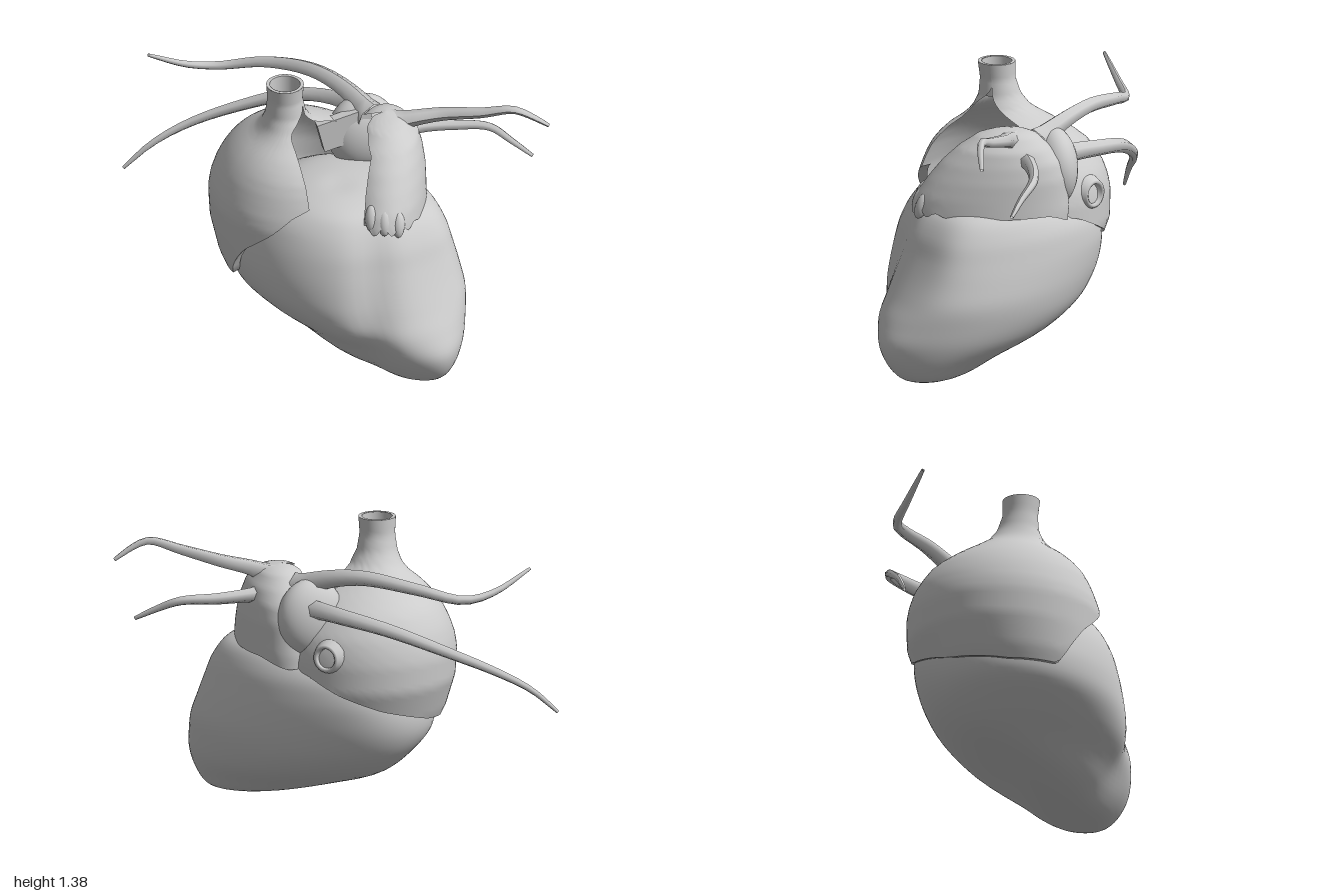
import * as THREE from 'three';
import { mergeVertices } from 'three/addons/utils/BufferGeometryUtils.js';

const grey = new THREE.MeshStandardMaterial({ color: 0xcccccc, side: THREE.DoubleSide });
const smooth = THREE.MathUtils.smoothstep;
const V = (p) => new THREE.Vector3(...p);

// Grid surface from a point rule; i runs around (counter-clockwise from above), j runs downwards
function gridSurface(nu, nv, pointAt) {
  const pos = [], idx = [];
  for (let j = 0; j <= nv; j++)
    for (let i = 0; i <= nu; i++) pos.push(...pointAt(i / nu, j / nv));
  for (let j = 0; j < nv; j++)
    for (let i = 0; i < nu; i++) {
      const a = j * (nu + 1) + i, b = a + 1, c = a + nu + 1, d = c + 1;
      idx.push(a, c, d, a, d, b);
    }
  let g = new THREE.BufferGeometry();
  g.setAttribute('position', new THREE.Float32BufferAttribute(pos, 3));
  g.setIndex(idx);
  g = mergeVertices(g, 1e-5);
  g.computeVertexNormals();
  return g;
}

// Linear lookup in rows sorted by their first number (either direction)
function lookup(rows, t) {
  const s = Math.sign(rows[rows.length - 1][0] - rows[0][0]);
  let k = 0;
  while (k < rows.length - 2 && s * (t - rows[k + 1][0]) > 0) k++;
  const a = rows[k], b = rows[k + 1];
  const f = THREE.MathUtils.clamp((t - a[0]) / (b[0] - a[0]), 0, 1);
  return a.map((v, n) => v + (b[n] - v) * f);
}

// Open shell: rows [y, cx, cz, rx, rz], a sector that opens downwards, and a varying rim height
function shell(rows, sector, rim, nu, nv, power) {
  return gridSurface(nu, nv, (u, v) => {
    const [from, to] = sector(v);
    const th = from + (to - from) * u;
    const y = rows[0][0] + (rim(th) - rows[0][0]) * v ** power;
    const [, cx, cz, rx, rz] = lookup(rows, y);
    return [cx + rx * Math.sin(th), y, cz + rz * Math.cos(th)];
  });
}

// Tapering vessel along a smooth path
function vessel(points, r0, r1) {
  const curve = new THREE.CatmullRomCurve3(points.map(V));
  const n = 22, sides = 6;
  const g = new THREE.TubeGeometry(curve, n, 1, sides);
  const p = g.attributes.position, v = new THREE.Vector3();
  for (let i = 0; i < p.count; i++) {
    const t = Math.floor(i / (sides + 1)) / n;
    const c = curve.getPointAt(t);
    const r = r1 + (r0 - r1) * (1 - t) ** 0.8 + 0.025 * Math.exp(-t * 18);
    v.fromBufferAttribute(p, i).sub(c).multiplyScalar(r).add(c);
    p.setXYZ(i, v.x, v.y, v.z);
  }
  g.computeVertexNormals();
  return g;
}

export function createModel() {
  const model = new THREE.Group();
  const add = (name, geometry) => {
    const m = new THREE.Mesh(geometry, grey);
    m.name = name;
    model.add(m);
    return m;
  };

  // Ventricles: leaning oval sections, top to bottom
  // [y, xMin, xMax, zMin, zMax, skew, skew of the back left corner]
  const sections = [
    [0.885, 0.01, 0.01, 0.14, 0.14, 0, 0],
    [0.885, -0.1, 0.13, 0, 0.27, 0, 0],
    [0.85, -0.24, 0.3, -0.18, 0.39, 0, 0.15],
    [0.79, -0.35, 0.45, -0.3, 0.45, 0, 0.25],
    [0.7, -0.43, 0.515, -0.41, 0.5, 0.05, 0.35],
    [0.6, -0.475, 0.55, -0.445, 0.53, 0.08, 0.38],
    [0.5, -0.5, 0.58, -0.44, 0.555, 0.14, 0.38],
    [0.4, -0.485, 0.605, -0.41, 0.58, 0.22, 0.38],
    [0.3, -0.4, 0.605, -0.35, 0.605, 0.36, 0.38],
    [0.2, -0.28, 0.595, -0.23, 0.605, 0.55, 0.38],
    [0.1, -0.08, 0.56, 0, 0.565, 0.58, 0.35],
    [0.03, 0.16, 0.51, 0.18, 0.5, 0.45, 0.3],
    [0, 0.41, 0.41, 0.38, 0.38, 0, 0],
  ];
  const columns = new Map();
  const column = (u) => {
    const key = u === 1 ? 0 : u;
    if (!columns.has(key)) {
      const th = key * Math.PI * 2;
      const corner = smooth(Math.cos(th - Math.PI * 0.75), -0.1, 1);
      columns.set(key, new THREE.CatmullRomCurve3(sections.map(([y, x0, x1, z0, z1, k, kb]) => V([
        (x0 + x1) / 2 + (x1 - x0) / 2 * Math.sin(th), y,
        (z0 + z1) / 2 + (z1 - z0) / 2 * Math.cos(th - Math.asin(k + (kb - k) * corner))]))));
    }
    return columns.get(key);
  };
  add('ventricles', gridSurface(72, 52, (u, v) => {
    const p = column(u).getPoint(v);
    // shallow groove between the two chambers on the front
    const front = smooth(p.z, 0.25, 0.5);
    p.z -= 0.03 * front * Math.exp(-(((p.x - 0.17) / 0.09) ** 2));
    return [p.x, Math.max(p.y, 0), p.z];
  }));

  // Right atrium, running up into the open great vein
  const rightRows = [
    [1.38, -0.24, 0.045, 0.088, 0.088], [1.3, -0.24, 0.04, 0.083, 0.083],
    [1.22, -0.237, 0.03, 0.096, 0.1], [1.16, -0.23, 0.02, 0.125, 0.14],
    [1.12, -0.215, 0.005, 0.175, 0.2], [1.08, -0.2, 0, 0.24, 0.27],
    [1.04, -0.19, -0.01, 0.292, 0.325], [1.0, -0.18, -0.02, 0.335, 0.37],
    [0.95, -0.175, -0.025, 0.372, 0.402], [0.9, -0.17, -0.03, 0.4, 0.427],
    [0.84, -0.17, -0.03, 0.42, 0.447], [0.78, -0.17, -0.03, 0.43, 0.458],
    [0.65, -0.165, -0.03, 0.428, 0.455], [0.5, -0.15, 0, 0.405, 0.43], [0.42, -0.14, 0.01, 0.38, 0.4],
  ];
  const rightRim = [[1.9, 0.76], [2.3, 0.72], [2.7, 0.64], [3.2, 0.56], [3.9, 0.48], [4.6, 0.44],
    [5.2, 0.44], [5.4, 0.55], [5.6, 0.64], [5.95, 0.76], [6.2, 0.86], [6.5, 0.92]];
  add('rightAtrium', shell(rightRows, (v) => {
    const f = smooth(v, 0.22, 0.5);
    return [1.2 + 0.8 * f, 1.2 + Math.PI * 2 - 1.09 * f];
  }, (th) => lookup(rightRim, th)[1], 64, 40, 1));
  // turned-in lower lip, following the rim
  add('rightAtriumLip', gridSurface(48, 1, (u, v) => {
    const th = 2.0 + 4.39 * u, y = lookup(rightRim, th)[1];
    const [, cx, cz, rx, rz] = lookup(rightRows, y);
    const k = 1 - 0.1 * v;
    return [cx + rx * k * Math.sin(th), y + 0.01 * v, cz + rz * k * Math.cos(th)];
  }));
  // inner lining of the great vein
  const lining = add('veinLining', new THREE.CylinderGeometry(0.072, 0.07, 0.16, 28, 1, true));
  lining.position.set(-0.24, 1.3, 0.043);
  const mouth = add('veinMouth', new THREE.RingGeometry(0.072, 0.088, 28));
  mouth.rotation.x = -Math.PI / 2;
  mouth.position.set(-0.24, 1.38, 0.045);

  // Left atrium, open towards the middle, with a lobed front hem
  const leftRows = [
    [1.19, 0.23, -0.02, 0, 0], [1.18, 0.235, -0.01, 0.06, 0.08], [1.16, 0.235, 0, 0.1, 0.14],
    [1.1, 0.235, 0.015, 0.15, 0.215], [1.03, 0.23, 0.025, 0.175, 0.28], [0.95, 0.225, 0.045, 0.193, 0.325],
    [0.87, 0.222, 0.07, 0.2, 0.355], [0.8, 0.22, 0.08, 0.204, 0.37], [0.75, 0.22, 0.08, 0.204, 0.365],
  ];
  const leftRim = (th) => {
    const front = 1 - smooth(th, 0.5, 1.1);
    return 0.79 + front * (0.015 + 0.022 * Math.cos(th * 15)) - 0.05 * smooth(th, 2.3, 3.1);
  };
  add('leftAtrium', shell(leftRows, (v) => {
    const f = smooth(v, 0, 0.5);
    return [-1.57 + 1.1 * f, 4.71 - 0.85 * f];
  }, leftRim, 72, 30, 1.7));
  // long folds ending in lobes along the hem
  for (const [x, y, z] of [[0.165, 0.855, 0.395], [0.225, 0.84, 0.41], [0.29, 0.825, 0.4]]) {
    const lobe = add('hemLobe', new THREE.SphereGeometry(0.034, 14, 10));
    lobe.scale.set(0.9, 1.9, 0.9);
    lobe.rotation.x = -0.35;
    lobe.position.set(x, y, z);
  }
  // back lobe joining the two atria
  const bridge = add('atriumBridge', new THREE.SphereGeometry(1, 32, 20));
  bridge.scale.set(0.17, 0.19, 0.11);
  bridge.rotation.y = 0.35;
  bridge.position.set(0.12, 0.97, -0.215);

  // Flat band crossing the open middle between the atria
  const band = add('middleBand', new THREE.BoxGeometry(0.26, 0.15, 0.05));
  band.position.set(0.045, 1.035, -0.13);
  band.rotation.set(0, 0.25, 0.24);

  // Rimmed vein opening at the back
  const profile = [[0, -0.03], [0.042, -0.03], [0.048, 0.01], [0.056, 0.016],
    [0.066, 0.012], [0.085, -0.03]].map((p) => new THREE.Vector2(...p));
  const opening = add('veinOpening', new THREE.LatheGeometry(profile, 24));
  opening.position.set(0.075, 0.82, -0.405);
  opening.quaternion.setFromUnitVectors(V([0, 1, 0]), V([0.66, 0, -0.75]).normalize());

  // Four long tapering vessels, two to each side
  add('upperLeftVessel', vessel([[0.27, 1.13, -0.02], [0.36, 1.165, 0], [0.5, 1.2, 0.02],
    [0.68, 1.245, 0.085], [0.83, 1.285, 0.125], [0.9, 1.26, 0.13], [0.995, 1.2, 0.125]], 0.04, 0.009));
  add('lowerLeftVessel', vessel([[0.3, 1.06, -0.07], [0.4, 1.06, -0.1], [0.55, 1.055, -0.12],
    [0.72, 1.05, -0.11], [0.82, 1.005, -0.06], [0.92, 0.95, -0.015]], 0.036, 0.009));
  add('upperRightVessel', vessel([[0.16, 1.1, -0.14], [0.06, 1.16, -0.25], [-0.1, 1.195, -0.38],
    [-0.33, 1.165, -0.51], [-0.55, 1.115, -0.56], [-0.7, 1.14, -0.53], [-0.88, 1.23, -0.465]], 0.046, 0.008));
  add('lowerRightVessel', vessel([[0.2, 1.0, -0.17], [0.13, 1.03, -0.28], [0.0, 1.02, -0.42],
    [-0.2, 0.975, -0.53], [-0.45, 0.88, -0.585], [-0.7, 0.77, -0.6], [-0.87, 0.67, -0.58],
    [-0.995, 0.555, -0.56]], 0.046, 0.008));

  return model;
}
